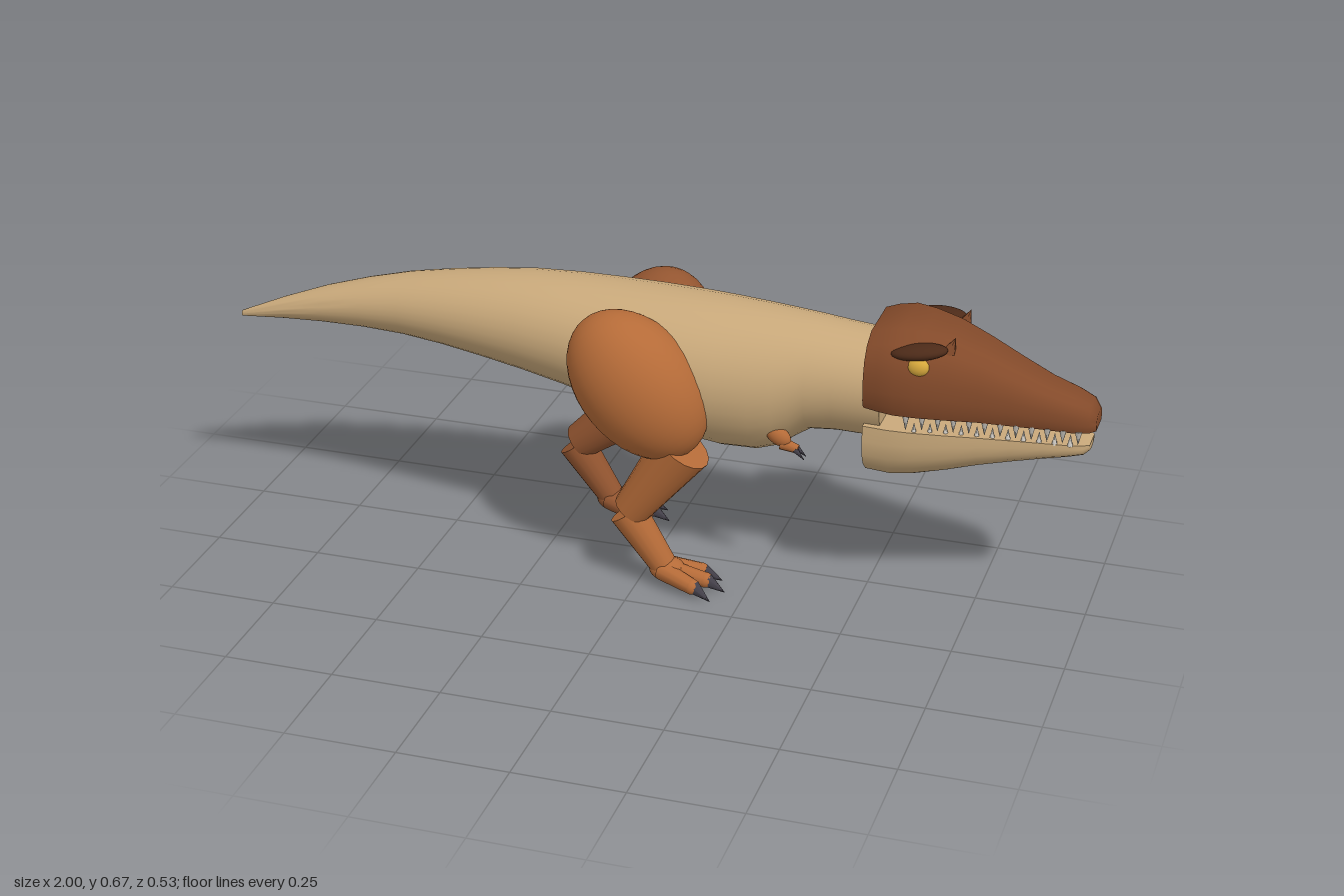
import * as THREE from 'three';
import { toCreasedNormals } from 'three/addons/utils/BufferGeometryUtils.js';

const V = (x, y, z) => new THREE.Vector3(x, y, z);
const material = (name, color) => {
  const m = new THREE.MeshStandardMaterial({ color });
  m.name = name;
  return m;
};

export function createModel() {
  const model = new THREE.Group();
  model.name = 'dinosaur';
  const tan = material('tan hide', 0xc8a87a);
  const headBrown = material('head brown', 0x834a2a);
  const leftOrange = material('left limb orange', 0xb56b38);
  const rightBrown = material('right limb brown', 0x935530);
  const dark = material('dark brow', 0x4c2a18);
  const clawGrey = material('claw grey', 0x45414b);
  const ivory = material('tooth ivory', 0xcfcbc4);
  const yellow = material('eye yellow', 0xd6a83c);

  function add(parent, name, geometry, mat) {
    const mesh = new THREE.Mesh(geometry, mat);
    mesh.name = name;
    parent.add(mesh);
    return mesh;
  }

  // Skin cross-sections along x; station = [x, top, bottom, halfWidth, zShift]
  function loft(parent, name, stations, profile, mat, crease) {
    const n = profile.length, pos = [], idx = [];
    for (const [x, top, bottom, half, shift = 0] of stations)
      for (const [pz, py] of profile) pos.push(x, bottom + (top - bottom) * py, shift + half * pz);
    for (let i = 0; i < stations.length - 1; i++)
      for (let j = 0; j < n; j++) {
        const k = (j + 1) % n, a = i * n + j, b = a + n, c = (i + 1) * n + k, d = i * n + k;
        idx.push(a, b, c, a, c, d);
      }
    const last = (stations.length - 1) * n, centre = pos.length / 3;
    for (const s of [stations[0], stations[stations.length - 1]])
      pos.push(s[0], (s[1] + s[2]) / 2, s[4] || 0);
    for (let j = 0; j < n; j++) {
      const k = (j + 1) % n;
      idx.push(centre, j, k, centre + 1, last + k, last + j);
    }
    const g = new THREE.BufferGeometry();
    g.setAttribute('position', new THREE.Float32BufferAttribute(pos, 3));
    g.setIndex(idx);
    return add(parent, name, toCreasedNormals(g, crease), mat);
  }
  const mirrored = (half) => [...half, ...half.slice().reverse().map(([z, y]) => [-z, y])];

  // Tapered limb segment from a to b
  function limb(parent, name, a, b, ra, rb, mat, sides = 16) {
    const dir = b.clone().sub(a);
    const mesh = add(parent, name, new THREE.CylinderGeometry(rb, ra, dir.length(), sides), mat);
    mesh.position.copy(a).add(b).multiplyScalar(0.5);
    mesh.quaternion.setFromUnitVectors(V(0, 1, 0), dir.normalize());
    return mesh;
  }

  function ellipsoid(parent, name, centre, radii, mat, tilt = 0) {
    const mesh = add(parent, name, new THREE.SphereGeometry(1, 32, 20), mat);
    mesh.position.copy(centre);
    mesh.scale.copy(radii);
    mesh.rotation.z = tilt;
    return mesh;
  }

  // Body from tail tip to neck
  const round = Array.from({ length: 32 }, (_, i) => {
    const a = (i / 32) * Math.PI * 2;
    return [Math.cos(a), 0.5 + 0.5 * Math.sin(a)];
  });
  loft(model, 'body', [
    [-1, 0.502, 0.488, 0.006, 0.048], [-0.9, 0.541, 0.49, 0.028, 0.03], [-0.8, 0.575, 0.49, 0.05, 0.015],
    [-0.7, 0.603, 0.488, 0.067, 0.006], [-0.6, 0.626, 0.482, 0.083, 0], [-0.5, 0.643, 0.472, 0.1, 0],
    [-0.4, 0.657, 0.456, 0.114, 0], [-0.3, 0.667, 0.438, 0.128, 0], [-0.2, 0.67, 0.417, 0.142, 0],
    [-0.1, 0.669, 0.392, 0.157, 0], [0, 0.667, 0.362, 0.168, 0], [0.1, 0.664, 0.334, 0.17, 0],
    [0.17, 0.661, 0.322, 0.165, 0], [0.25, 0.656, 0.322, 0.155, 0], [0.3, 0.652, 0.338, 0.147, 0],
    [0.335, 0.649, 0.365, 0.138, 0], [0.37, 0.646, 0.388, 0.13, 0], [0.43, 0.639, 0.393, 0.125, 0],
    [0.54, 0.628, 0.39, 0.122, 0],
  ], round, tan, 0.7);

  // Head and lower jaw
  const head = new THREE.Group();
  head.name = 'head';
  model.add(head);
  loft(head, 'upperHead', [
    [0.505, 0.66, 0.502, 0.135], [0.535, 0.67, 0.5, 0.142], [0.575, 0.677, 0.497, 0.146],
    [0.62, 0.672, 0.494, 0.138], [0.68, 0.658, 0.49, 0.121], [0.75, 0.63, 0.486, 0.1],
    [0.82, 0.597, 0.481, 0.084], [0.89, 0.565, 0.477, 0.07], [0.95, 0.545, 0.473, 0.06],
    [0.985, 0.53, 0.472, 0.048], [1, 0.508, 0.474, 0.034],
  ], mirrored([[0.92, 0], [0.98, 0.12], [1, 0.3], [0.99, 0.5], [0.93, 0.7], [0.78, 0.88], [0.5, 1]]), headBrown, 0.8);
  loft(head, 'lowerJaw', [
    [0.505, 0.457, 0.317, 0.127], [0.56, 0.455, 0.313, 0.128], [0.61, 0.453, 0.32, 0.122],
    [0.68, 0.451, 0.337, 0.109], [0.75, 0.448, 0.357, 0.092], [0.82, 0.445, 0.374, 0.077],
    [0.89, 0.443, 0.39, 0.064], [0.94, 0.441, 0.4, 0.054], [0.975, 0.44, 0.408, 0.043], [0.988, 0.438, 0.42, 0.03],
  ], mirrored([[0.35, 0], [0.65, 0.13], [0.86, 0.3], [0.97, 0.5], [1, 0.75], [0.98, 1]]), tan, 0.8);

  for (const s of [1, -1]) {
    // Eyes, brows and horns
    ellipsoid(head, 'eye', V(0.622, 0.613, s * 0.122), V(0.025, 0.021, 0.016), yellow);
    const brow = ellipsoid(head, 'brow', V(0.62, 0.642, s * 0.106), V(0.062, 0.017, 0.03), dark, 0.1);
    brow.rotation.y = s * 0.2;
    limb(head, 'horn', V(0.68, 0.638, s * 0.08), V(0.693, 0.673, s * 0.08), 0.016, 0.0005, headBrown, 6);

    // Teeth along both jaws
    for (let i = 0; i < 12; i++) {
      const t = i / 11, x = 0.6 + 0.365 * t;
      const z = s * (0.12 - 0.072 * Math.pow(t, 0.75)), y = 0.497 - 0.021 * t;
      limb(head, 'upperTooth', V(x, y, z), V(x, y - 0.037 + 0.006 * t, z), 0.009, 0.0005, ivory, 6);
      if (i < 11)
        limb(head, 'lowerTooth', V(x + 0.016, 0.446 - 0.008 * t, z * 0.9),
          V(x + 0.016, 0.473 - 0.008 * t, z * 0.9), 0.007, 0.0005, ivory, 6);
    }

    // Small arms
    const mat = s > 0 ? leftOrange : rightBrown;
    const arm = new THREE.Group();
    arm.name = s > 0 ? 'leftArm' : 'rightArm';
    model.add(arm);
    ellipsoid(arm, 'upperArm', V(0.312, 0.4, s * 0.11), V(0.033, 0.021, 0.018), mat, -0.6);
    limb(arm, 'forearm', V(0.32, 0.382, s * 0.11), V(0.358, 0.372, s * 0.11), 0.015, 0.01, mat, 10);
    for (const d of [-1, 1])
      limb(arm, 'armClaw', V(0.353, 0.373, s * 0.11 + d * 0.006),
        V(0.375, 0.352, s * 0.11 + d * 0.009), 0.007, 0.0005, clawGrey, 6);
  }

  // Striding legs: the left forward, the right back
  function leg(name, z, mat, hip, tilt, shinTop, ankleX) {
    const g = new THREE.Group();
    g.name = name;
    g.position.z = z;
    model.add(g);
    ellipsoid(g, 'thigh', hip, V(0.137, 0.189, 0.12), mat, tilt);
    const heel = V(ankleX - 0.085, 0.178, 0), ankle = V(ankleX, 0.055, 0);
    limb(g, 'shin', shinTop, heel.clone().add(V(0.01, 0.006, 0)), 0.068, 0.043, mat);
    limb(g, 'lowerLeg', heel, ankle, 0.043, 0.031, mat);
    ellipsoid(g, 'foot', V(ankleX + 0.01, 0.045, 0), V(0.042, 0.028, 0.034), mat);
    for (const d of [-1, 0, 1]) {
      const reach = d ? 0.08 : 0.1, knuckle = V(ankleX + reach, 0.03, d * 0.04);
      limb(g, 'toe', V(ankleX, 0.047, d * 0.014), knuckle, 0.023, 0.018, mat, 10);
      ellipsoid(g, 'toeTip', knuckle, V(0.018, 0.018, 0.018), mat);
      limb(g, 'toeClaw', knuckle.clone().add(V(0.004, 0, 0)),
        V(ankleX + reach + 0.046, 0.005, d * 0.052), 0.017, 0.0005, clawGrey, 8);
    }
  }
  leg('leftLeg', 0.147, leftOrange, V(0, 0.495, 0), 0.72, V(0.105, 0.36, 0), 0.058);
  leg('rightLeg', -0.147, rightBrown, V(-0.05, 0.465, 0), -0.25, V(-0.08, 0.315, 0), -0.165);

  return model;
}
